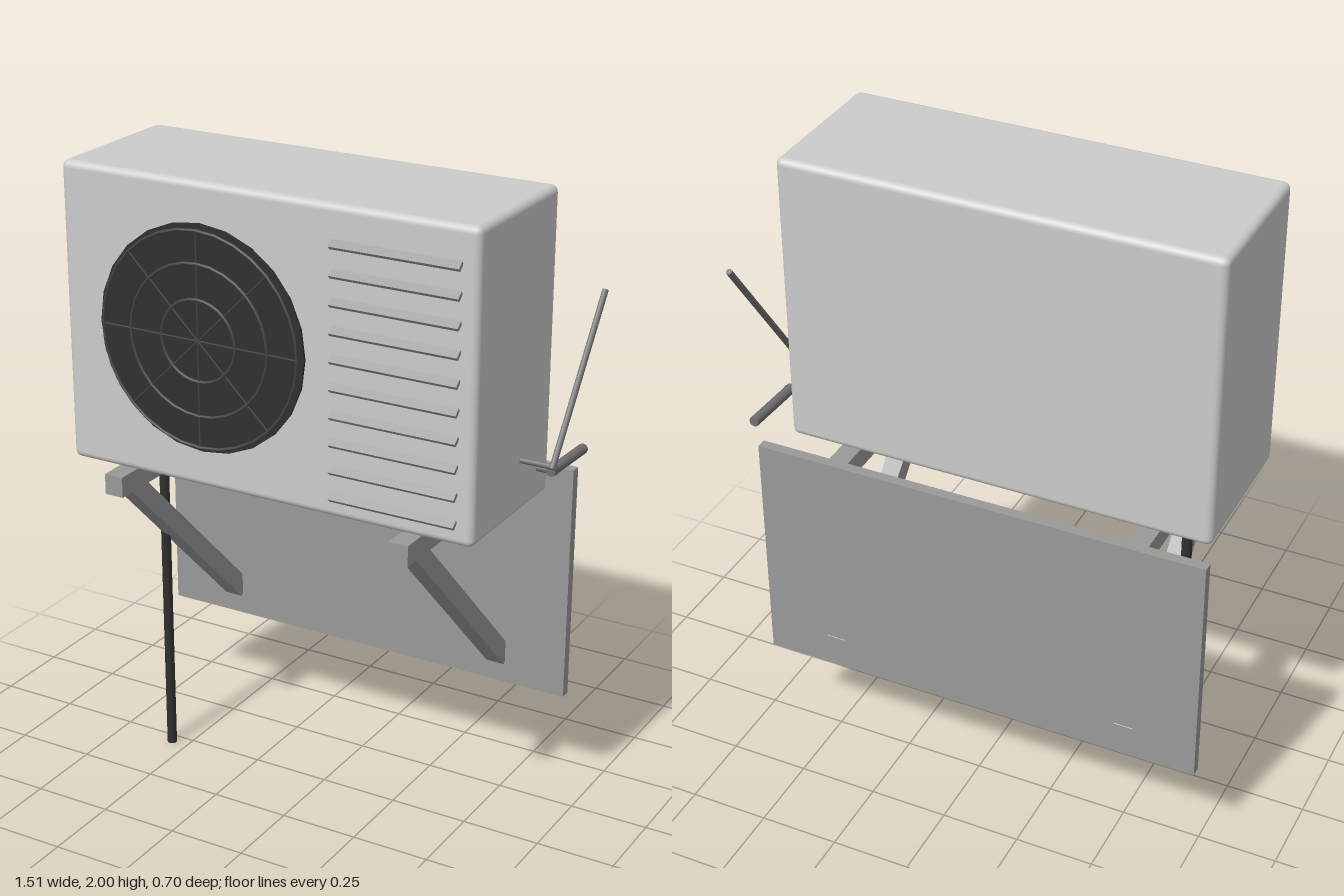
import * as THREE from 'three';
import { RoundedBoxGeometry } from 'three/addons/geometries/RoundedBoxGeometry.js';

const material = (color) => new THREE.MeshStandardMaterial({ color });

export function createModel() {
  const model = new THREE.Group();
  model.name = 'outdoorUnit';

  const casingGrey = material(0xcccccc);
  const steel = material(0x999999);
  const pipeGrey = material(0x707070);
  const dark = material(0x303030);
  const wire = material(0x444444);

  const add = (parent, name, geometry, mat, x = 0, y = 0, z = 0) => {
    const mesh = new THREE.Mesh(geometry, mat);
    mesh.name = name;
    mesh.position.set(x, y, z);
    parent.add(mesh);
    return mesh;
  };

  // Straight round bar between two points
  const rod = (parent, name, a, b, radius, mat, sides = 8) => {
    const from = new THREE.Vector3(...a);
    const to = new THREE.Vector3(...b);
    const dir = to.clone().sub(from);
    const mesh = add(parent, name, new THREE.CylinderGeometry(radius, radius, dir.length(), sides), mat);
    mesh.position.copy(from).add(to).multiplyScalar(0.5);
    mesh.quaternion.setFromUnitVectors(new THREE.Vector3(0, 1, 0), dir.normalize());
    return mesh;
  };

  // Casing with softened edges
  add(model, 'casing', new RoundedBoxGeometry(1.36, 0.93, 0.495, 3, 0.022), casingGrey, -0.04, 1.535, 0.036);

  // Fan: dark disc behind a grille of rings and spokes
  const fan = new THREE.Group();
  fan.name = 'fan';
  fan.position.set(-0.243, 1.534, 0);
  model.add(fan);
  const disc = add(fan, 'fanDisc', new THREE.CylinderGeometry(0.347, 0.347, 0.02, 24), dark, 0, 0, 0.281);
  disc.rotation.x = Math.PI / 2;
  for (const radius of [0.33, 0.232, 0.125]) {
    add(fan, 'grilleRing', new THREE.TorusGeometry(radius, 0.005, 6, 32), wire, 0, 0, 0.304);
  }
  for (let i = 0; i < 4; i++) {
    const angle = (i * Math.PI) / 4;
    const x = 0.33 * Math.cos(angle);
    const y = 0.33 * Math.sin(angle);
    rod(fan, 'grilleSpoke', [-x, -y, 0.304], [x, y, 0.304], 0.003, wire, 6);
  }

  // Tilted louvre slats
  for (let i = 0; i < 10; i++) {
    const slat = add(model, 'louvreSlat', new THREE.BoxGeometry(0.4, 0.012, 0.026), steel,
      0.39, 1.139 + i * 0.0834, 0.294);
    slat.rotation.x = 0.7;
  }

  // Wall panel
  add(model, 'wallPanel', new THREE.BoxGeometry(1.432, 0.763, 0.033), steel, -0.041, 0.718, -0.332);

  // Two brackets: level arm with a diagonal brace
  for (const x of [-0.527, 0.442]) {
    const bracket = new THREE.Group();
    bracket.name = 'bracket';
    bracket.position.x = x;
    model.add(bracket);
    add(bracket, 'bracketArm', new THREE.BoxGeometry(0.062, 0.065, 0.665), steel, 0, 1.0375, 0.0165);
    const brace = add(bracket, 'bracketBrace', new THREE.BoxGeometry(0.06, 0.06, 0.875), steel, 0, 0.732, -0.0195);
    brace.rotation.x = -Math.PI / 4;
  }

  // Drain hose hanging from the underside
  rod(model, 'drainHose', [-0.558, 0, 0.036], [-0.558, 1.1, 0.036], 0.016, dark, 10);

  // Thick and thin refrigerant pipes on the left side
  rod(model, 'thickPipeStub', [0.62, 1.17, -0.133], [0.702, 1.17, -0.133], 0.012, pipeGrey);
  rod(model, 'thickPipe', [0.687, 1.17, -0.12], [0.695, 1.17, -0.332], 0.016, pipeGrey);
  rod(model, 'thinPipeStub', [0.62, 1.235, -0.015], [0.748, 1.235, -0.015], 0.009, pipeGrey);
  rod(model, 'thinPipe', [0.741, 1.23, -0.01], [0.741, 1.672, -0.33], 0.01, pipeGrey);

  return model;
}
